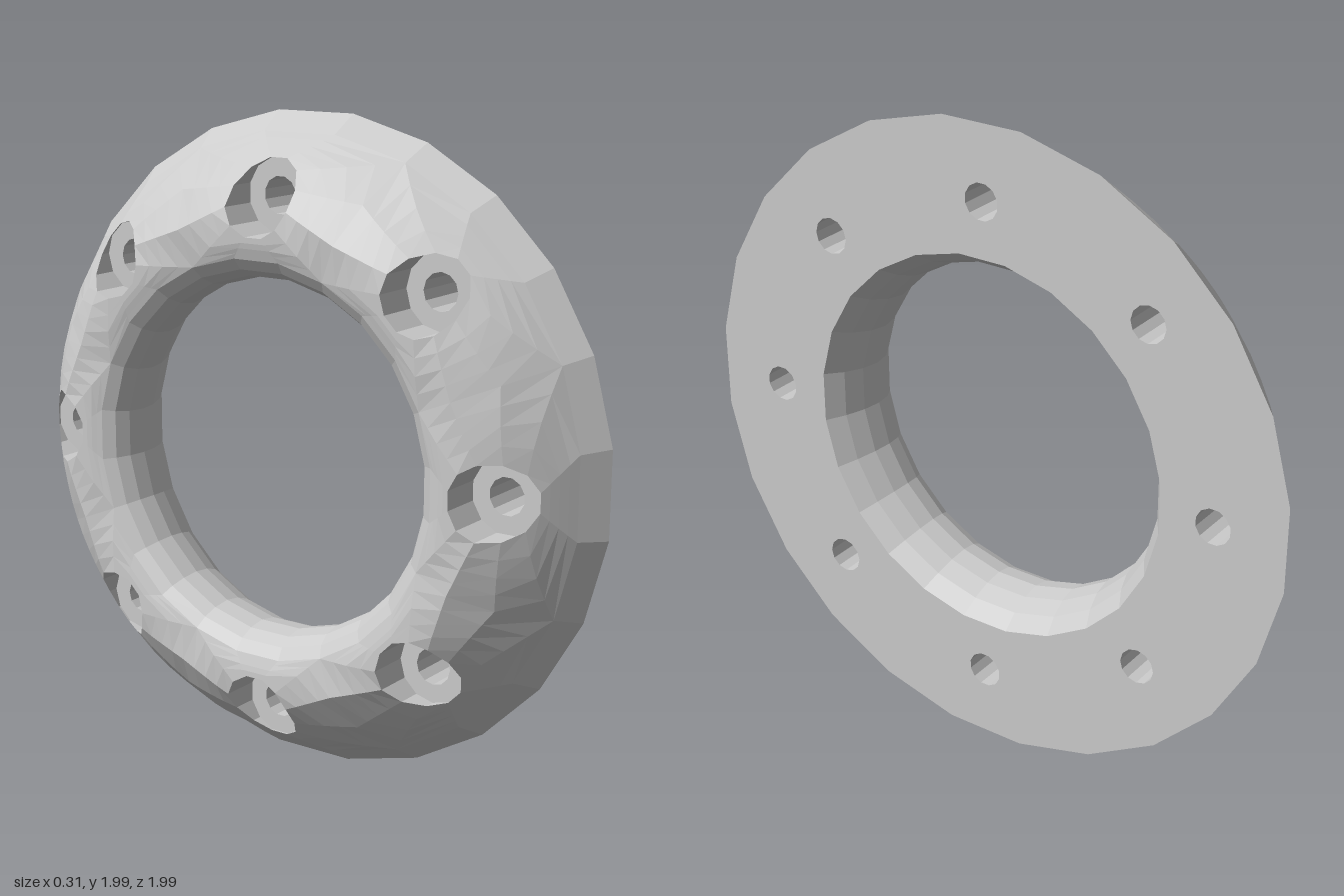
import * as THREE from 'three';

const SECTORS = 8, STEPS = 3;            // bolt holes, facets per sector side
const HALF = Math.PI / SECTORS;
const OUTER = 1.005, INNER = 0.605;      // radii of the flat face
const FLAT_X = 0.155, FLOOR_X = -0.02;   // flat face and counterbore floor
const BOLT_R = 0.77, BORE = 0.056, COUNTERBORE = 0.112;
const BACK_IN = 0.6, BACK_OUT = 0.95;    // radial range of the drilled rounded side

// Rounded side as [radius, x]
const DOME = [[0.6, -0.14], [0.64, -0.154], [0.7, -0.157], [0.74, -0.148], [0.78, -0.125],
  [0.82, -0.085], [0.88, -0.025], [0.95, 0.072], [1.0, 0.15]];
// Throat from the flat face to the rounded side as [radius, x]
const THROAT = [[INNER, FLAT_X], [0.568, 0.1], [0.543, 0.04], [0.533, -0.02], [0.543, -0.075],
  [0.566, -0.115], [BACK_IN, -0.14]];

function domeX(r) {
  let i = 1;
  while (i < DOME.length - 1 && r > DOME[i][0]) i++;
  const [r0, x0] = DOME[i - 1], [r1, x1] = DOME[i];
  return x0 + (x1 - x0) * (r - r0) / (r1 - r0);
}

const polar = (r, a, x) => new THREE.Vector3(x, r * Math.cos(a), r * Math.sin(a));
const onDome = (p) => new THREE.Vector3(domeX(Math.hypot(p.y, p.z)), p.y, p.z);

// Skin a chain of closed loops with equal point counts
function skin(loops) {
  const pos = [];
  for (let j = 0; j < loops.length - 1; j++) {
    const A = loops[j], B = loops[j + 1], n = A.length;
    for (let i = 0; i < n; i++) {
      const k = (i + 1) % n;
      for (const p of [A[i], A[k], B[k], A[i], B[k], B[i]]) pos.push(p.x, p.y, p.z);
    }
  }
  const g = new THREE.BufferGeometry();
  g.setAttribute('position', new THREE.Float32BufferAttribute(pos, 3));
  g.computeVertexNormals();
  return g;
}

// Full circle about the ring's axis
function circle(r, x) {
  const n = SECTORS * STEPS;
  return Array.from({ length: n }, (_, i) => polar(r, -HALF + i * 2 * Math.PI / n, x));
}

// Outline of one sector between two radii
function sectorLoop(r0, r1, x) {
  const corners = [[r1, -HALF], [r1, HALF], [r0, HALF], [r0, -HALF]];
  const pts = [];
  corners.forEach(([r, a], c) => {
    const [rn, an] = corners[(c + 1) % 4];
    for (let i = 0; i < STEPS; i++) {
      const t = i / STEPS;
      pts.push(polar(r + (rn - r) * t, a + (an - a) * t, x));
    }
  });
  return pts;
}

// Circle around the bolt axis, matched to the sector outline
function holeLoop(radius, x) {
  const n = 4 * STEPS;
  return Array.from({ length: n }, (_, i) => {
    const a = -Math.PI / 4 + i * 2 * Math.PI / n;
    return new THREE.Vector3(x, BOLT_R + radius * Math.cos(a), radius * Math.sin(a));
  });
}

export function createModel() {
  const group = new THREE.Group();
  const material = new THREE.MeshStandardMaterial({ color: 0xcccccc, flatShading: true });
  const ring = new THREE.Group();
  ring.name = 'flangeRing';
  ring.position.y = 1;
  group.add(ring);
  const add = (name, geometry) => {
    const mesh = new THREE.Mesh(geometry, material);
    mesh.name = name;
    ring.add(mesh);
    return mesh;
  };

  add('throat', skin(THROAT.map(([r, x]) => circle(r, x))));
  add('outerRim', skin([circle(BACK_OUT, domeX(BACK_OUT)), circle(OUTER, FLAT_X)]));

  // One sector: flat face, through bore, counterbore, then the domed side around it
  const edge = sectorLoop(BACK_IN, BACK_OUT, 0).map(onDome);
  const mouth = holeLoop(COUNTERBORE, 0).map(onDome);
  const loops = [sectorLoop(INNER, OUTER, FLAT_X), holeLoop(BORE, FLAT_X),
    holeLoop(BORE, FLOOR_X), holeLoop(COUNTERBORE, FLOOR_X), mouth];
  for (const t of [0.25, 0.5, 0.75]) loops.push(mouth.map((p, i) => onDome(p.clone().lerp(edge[i], t))));
  loops.push(edge);
  const sector = skin(loops);
  for (let i = 0; i < SECTORS; i++) add('boltHoleSector', sector).rotation.x = i * 2 * HALF;

  return group;
}
